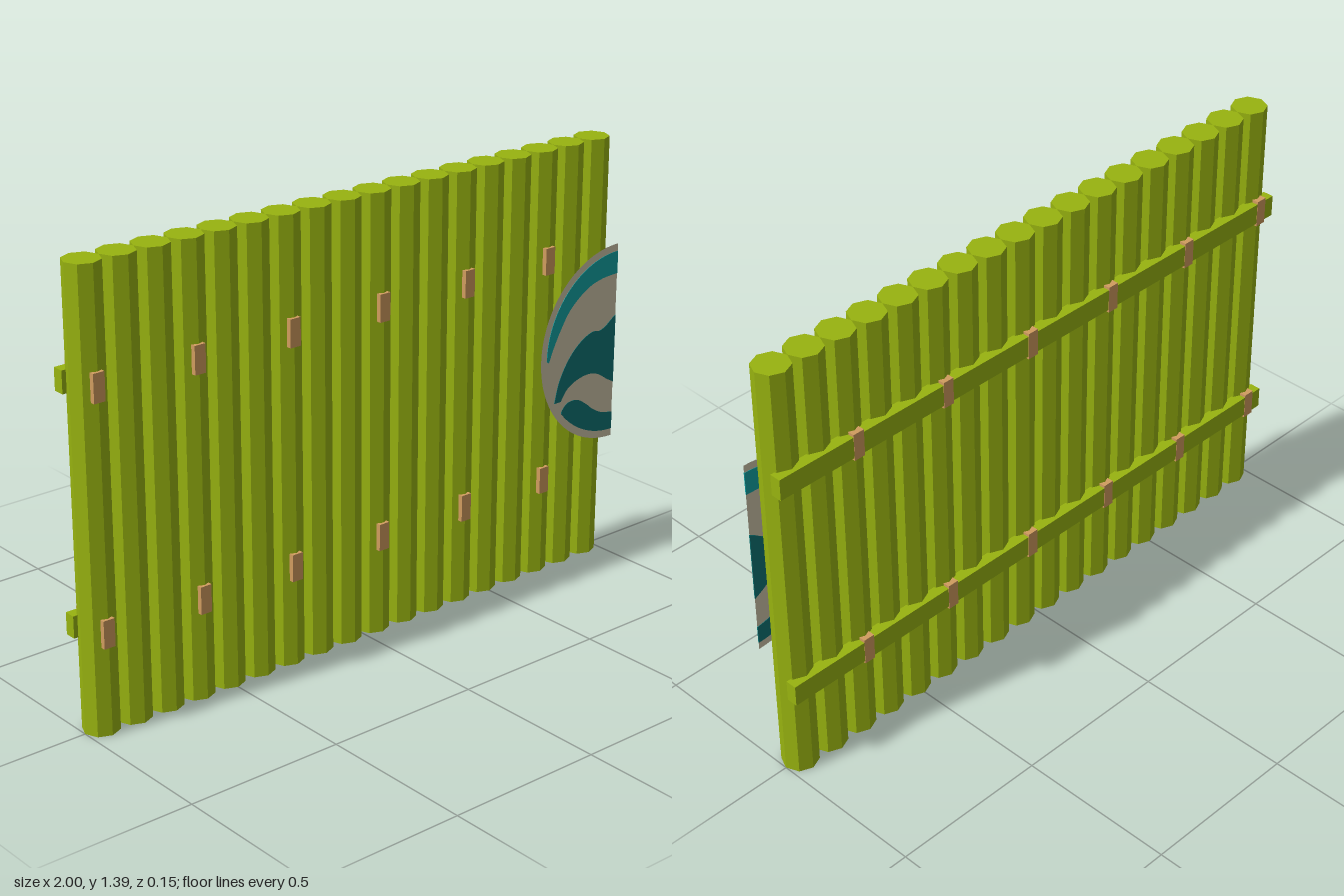
import * as THREE from 'three';

const mat = (name, color) => {
  const m = new THREE.MeshStandardMaterial({ color });
  m.name = name;
  return m;
};

export function createModel() {
  const bamboo = mat('bambooGreen', 0x98b310);
  const rope = mat('ropeTan', 0xd09c5f);
  const cream = mat('cream', 0xcdc3a9);
  cream.side = THREE.DoubleSide;
  const brightTeal = mat('brightTeal', 0x10a3a3);
  const darkTeal = mat('darkTeal', 0x0b7373);

  const model = new THREE.Group();
  model.name = 'bambooFence';
  const add = (name, geometry, material, x, y, z) => {
    const mesh = new THREE.Mesh(geometry, material);
    mesh.name = name;
    mesh.position.set(x, y, z);
    model.add(mesh);
  };

  // Eighteen faceted upright poles, side by side
  const count = 18, radius = 1 / count, height = 1.39;
  const poleGeo = new THREE.CylinderGeometry(radius, radius, height, 8).toNonIndexed();
  poleGeo.computeVertexNormals();
  for (let i = 0; i < count; i++) {
    add('pole', poleGeo, bamboo, -1 + radius * (2 * i + 1), height / 2, 0);
  }

  // Two rails along the back, each tied on with a strap at every third pole
  const railGeo = new THREE.BoxGeometry(2, 0.068, 0.036);
  const strapGeo = new THREE.BoxGeometry(0.037, 0.086, 0.133);
  for (const y of [0.32, 1.046]) {
    add('backRail', railGeo, bamboo, 0, y, -0.051);
    for (let i = 0; i < 6; i++) add('strap', strapGeo, rope, -0.946 + i / 3, y, -0.0035);
  }

  // Half-round sign at the left end, cut off flush with the fence
  const cx = 1, cy = 0.728, z = 0.078;
  const disc = new THREE.Shape();
  disc.absarc(cx, cy, 0.322, Math.PI / 2, Math.PI * 1.5, false);
  disc.closePath();
  add('signPlate', new THREE.ShapeGeometry(disc, 32), cream, 0, 0, z);

  // Painted waves show on both faces of the sign
  const paint = (name, shape, material) => {
    const geo = new THREE.ExtrudeGeometry(shape, { depth: 0.003, bevelEnabled: false, curveSegments: 16 });
    add(name, geo, material, 0, 0, z - 0.0015);
  };
  const vec = ([x, y]) => new THREE.Vector2(x, y);
  const inner = 0.298;

  const crest = new THREE.Shape();
  crest.absarc(cx, cy, inner, Math.PI / 2, Math.PI, false);
  crest.splineThru([[0.711, 0.723], [0.727, 0.76], [0.759, 0.82], [0.80, 0.878],
    [0.866, 0.927], [0.93, 0.948], [1, 0.953]].map(vec));
  paint('upperWave', crest, brightTeal);

  const middle = new THREE.Shape();
  middle.moveTo(1, 0.815);
  middle.splineThru([[0.98, 0.803], [0.957, 0.787], [0.93, 0.777], [0.898, 0.78], [0.85, 0.76],
    [0.80, 0.716], [0.76, 0.65], [0.74, 0.578]].map(vec));
  middle.lineTo(0.768, 0.578);
  middle.splineThru([[0.78, 0.597], [0.803, 0.62], [0.845, 0.637], [0.89, 0.642],
    [0.93, 0.632], [0.973, 0.605], [1, 0.59]].map(vec));
  paint('middleWave', middle, darkTeal);

  const lower = new THREE.Shape();
  lower.absarc(cx, cy, inner, Math.PI * 1.5, Math.PI * 1.222, true);
  lower.splineThru([[0.777, 0.55], [0.80, 0.567], [0.84, 0.567], [0.877, 0.546],
    [0.91, 0.52], [0.95, 0.498], [1, 0.487]].map(vec));
  paint('lowerWave', lower, darkTeal);

  return model;
}
